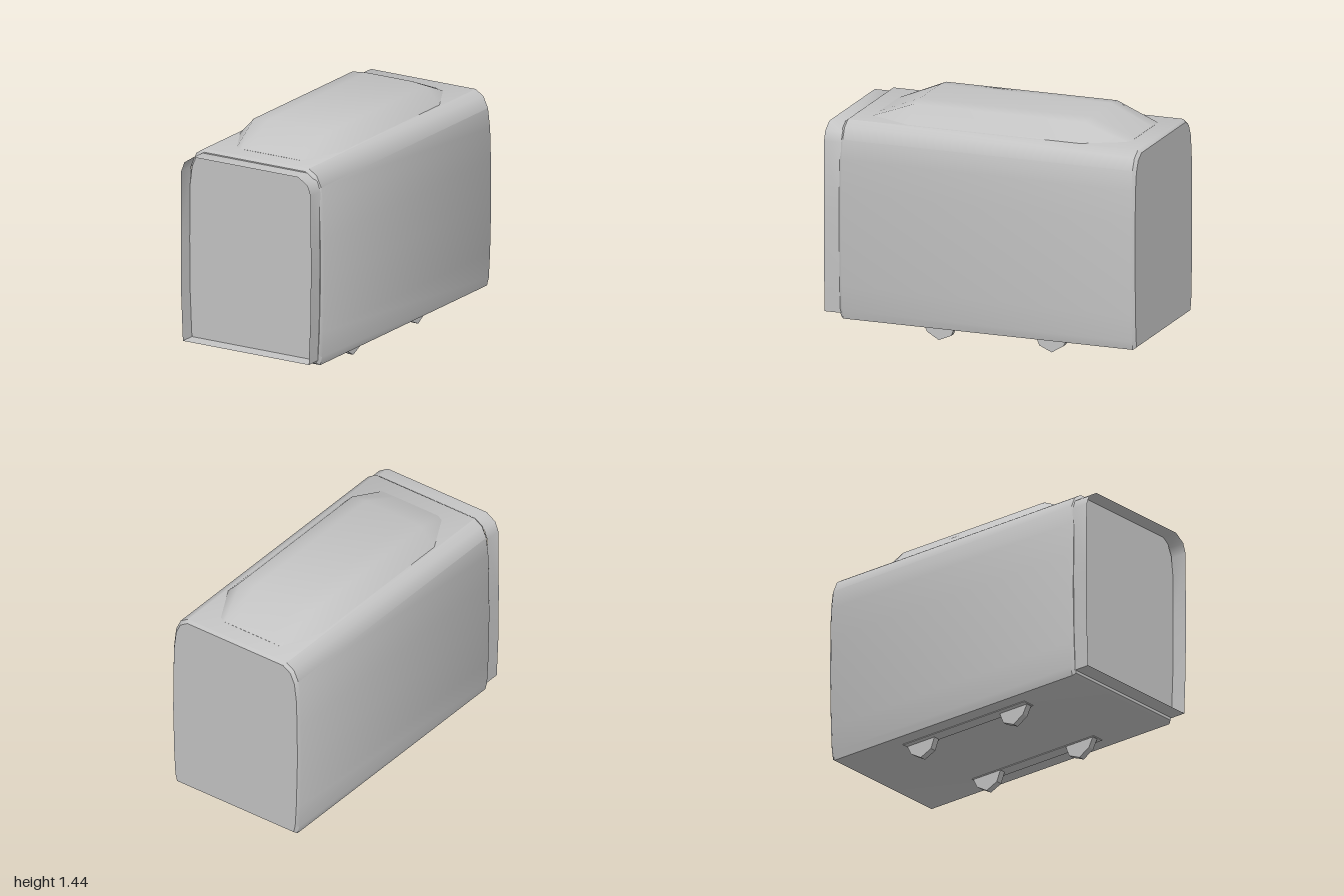
import * as THREE from 'three';
import { toCreasedNormals } from 'three/addons/utils/BufferGeometryUtils.js';

// Skin over rings of [x, y, z] points, ordered back to front, each counter-clockwise seen from +z.
function loft(rings, caps = true, crease = 0.7) {
  const n = rings[0].length;
  const index = [];
  for (let r = 0; r < rings.length - 1; r++) {
    for (let i = 0; i < n; i++) {
      const a = r * n + i, b = r * n + (i + 1) % n;
      index.push(a, b, b + n, a, b + n, a + n);
    }
  }
  if (caps) {
    const last = (rings.length - 1) * n;
    for (let i = 1; i < n - 1; i++) {
      index.push(0, i + 1, i);
      index.push(last, last + i, last + i + 1);
    }
  }
  const geometry = new THREE.BufferGeometry();
  geometry.setAttribute('position', new THREE.Float32BufferAttribute(rings.flat(2), 3));
  geometry.setIndex(index);
  return toCreasedNormals(geometry, crease);
}

// Full closed outline from its +x half, listed bottom to top.
const mirrored = (half) => [...half, ...half.map(([x, y]) => [-x, y]).reverse()];
const at = (outline, z, inset = 0) => outline.map(([x, y]) =>
  [x * (1 - inset / 0.48), 0.71 + (y - 0.71) * (1 - inset / 0.61), z]);

export function createModel() {
  const model = new THREE.Group();
  const grey = new THREE.MeshStandardMaterial({ color: 0xc4c4c4 });
  grey.name = 'light grey';
  grey.side = THREE.DoubleSide;
  const add = (name, geometry) => {
    const mesh = new THREE.Mesh(geometry, grey);
    mesh.name = name;
    model.add(mesh);
    return mesh;
  };

  // Main body: bulging sides, rounded shoulders, small bevel at both ends
  const body = mirrored([
    [0.45, 0.108], [0.463, 0.16], [0.472, 0.32], [0.48, 0.64], [0.478, 0.9],
    [0.472, 1.1], [0.457, 1.22], [0.425, 1.29], [0.37, 1.325],
  ]);
  add('body', loft([
    at(body, -1, 0.015), at(body, -0.98), at(body, 0.88), at(body, 0.9, 0.015),
  ]));

  // Thin open collar around the front panel
  const collar = mirrored([
    [0.445, 0.14], [0.458, 0.45], [0.46, 0.75], [0.457, 1.2], [0.435, 1.26], [0.37, 1.303],
  ]);
  add('frontCollar', loft([at(collar, 0.89), at(collar, 1)], false));

  // Raised roof fairing, tapering into the roof at both ends
  const crown = mirrored([[0.36, 1.32], [0.26, 1.43], [0.16, 1.44]]);
  const frontTip = [[0.29, 1.315], [0.24, 1.325], [0.14, 1.326], [-0.12, 1.326], [-0.18, 1.325], [-0.22, 1.315]];
  const backTip = frontTip.map(([x, y]) => [-x, y]).reverse();
  add('roofFairing', loft([
    at(backTip, -0.87), at(crown, -0.6), at(crown, 0.5), at(frontTip, 0.77),
  ], true, 0.9));

  // Foot rails and the rounded feet below them
  const foot = new THREE.Shape([
    [0.108, 0.11], [0.075, 0.045], [0, 0], [-0.08, 0.035], [-0.11, 0.11],
  ].map(([x, y]) => new THREE.Vector2(x, y)));
  const footGeometry = new THREE.ExtrudeGeometry(foot, { depth: 0.04, bevelEnabled: false });
  footGeometry.translate(0, 0, -0.02);
  for (const side of [1, -1]) {
    const rail = add('footRail', new THREE.BoxGeometry(0.08, 0.012, 0.95));
    rail.position.set(side * 0.32, 0.109, -0.045);
    for (const [z, turn] of [[0.315, -1], [-0.41, 1]]) {
      const mesh = add('foot', footGeometry);
      mesh.position.set(side * 0.305, 0, z);
      mesh.rotation.y = turn * Math.PI / 2;
    }
  }
  return model;
}
